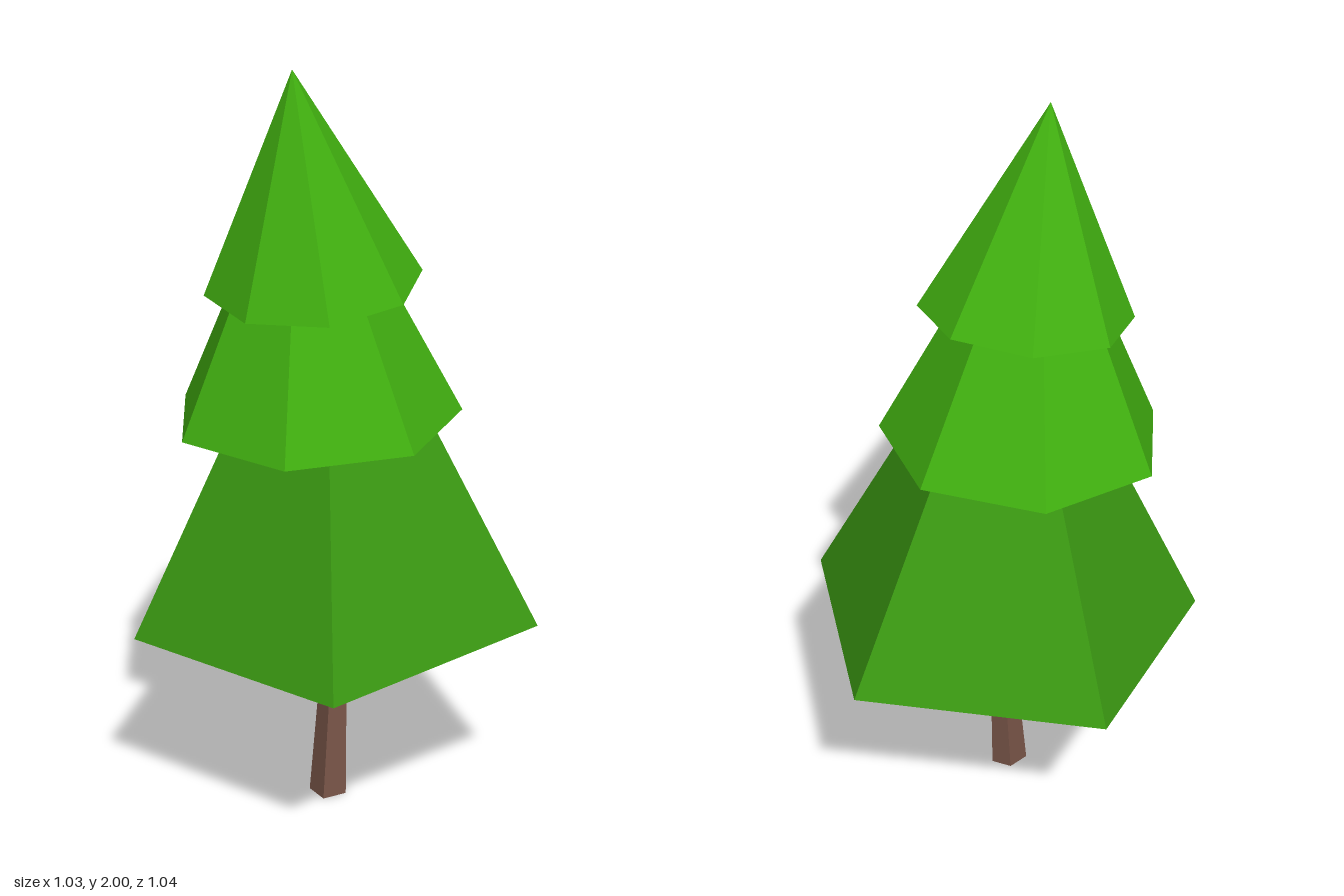
import * as THREE from 'three';

// Closed faceted solid from rings of equal corner count (each ring: array of Vector3)
function loft(rings, material, name) {
  const pos = [];
  const tri = (...pts) => pts.forEach((p) => pos.push(p.x, p.y, p.z));
  const n = rings[0].length;
  const middle = (ring) => ring.reduce((s, p) => s.add(p), new THREE.Vector3()).divideScalar(n);
  const first = rings[0], last = rings[rings.length - 1];
  for (let i = 0; i < n; i++) {
    const j = (i + 1) % n;
    for (let r = 0; r < rings.length - 1; r++) {
      const lo = rings[r], hi = rings[r + 1];
      tri(lo[i], hi[i], hi[j]);
      tri(lo[i], hi[j], lo[j]);
    }
    tri(middle(first), first[i], first[j]);
    tri(middle(last), last[j], last[i]);
  }
  const geometry = new THREE.BufferGeometry();
  geometry.setAttribute('position', new THREE.Float32BufferAttribute(pos, 3));
  geometry.computeVertexNormals();
  const mesh = new THREE.Mesh(geometry, material);
  mesh.name = name;
  return mesh;
}

// Foliage tier: tilted polygon rim tapering toward an apex; top = 1 reaches the point
function tier(name, material, corners, height, apex, top) {
  const tip = new THREE.Vector3(...apex);
  const rim = corners.map(([x, z]) => new THREE.Vector3(x, height(x, z), z));
  return loft([rim, rim.map((p) => p.clone().lerp(tip, top))], material, name);
}

export function createModel() {
  const bark = new THREE.MeshStandardMaterial({ color: 0x795548 });
  const leaf = new THREE.MeshStandardMaterial({ color: 0x41b010 });
  const darkLeaf = new THREE.MeshStandardMaterial({ color: 0x3a9812 });
  bark.name = 'bark';
  leaf.name = 'leaf';
  darkLeaf.name = 'darkLeaf';

  const tree = new THREE.Group();
  tree.name = 'tree';

  // Leaning five-sided trunk: [y, centre x, centre z, scale]
  const foot = [[0.02, -0.05], [0.05, 0], [0.01, 0.055], [-0.05, 0.02], [-0.035, -0.04]];
  const sections = [[0, -0.03, 0.07, 1], [0.5, -0.025, 0.031, 0.6], [0.62, -0.025, 0.03, 0.58]];
  tree.add(loft(sections.map(([y, cx, cz, s]) =>
    foot.map(([x, z]) => new THREE.Vector3(cx + x * s, y, cz + z * s))), bark, 'trunk'));

  // Three foliage tiers with 5, 7 and 8 sides
  tree.add(tier('lowerFoliage', darkLeaf,
    [[0.065, -0.52], [0.515, -0.055], [0.21, 0.517], [-0.43, 0.402], [-0.52, -0.24]],
    (x, z) => 0.543 - 0.075 * z + 0.01 * x, [-0.03, 1.61, 0.08], 0.62));
  tree.add(tier('middleFoliage', leaf,
    [[0.02, -0.27], [0.28, -0.08], [0.295, 0.245], [0.05, 0.458], [-0.27, 0.4], [-0.425, 0.117], [-0.295, -0.183]],
    (x, z) => 1.1 - 0.045 * z, [-0.06, 1.87, 0.154], 0.55));
  tree.add(tier('topFoliage', leaf,
    [[0.01, -0.144], [0.185, -0.033], [0.23, 0.175], [0.118, 0.35], [-0.088, 0.394], [-0.268, 0.28], [-0.313, 0.078], [-0.2, -0.1]],
    (x, z) => 1.47 - 0.139 * z, [-0.055, 2, 0.203], 1));

  return tree;
}
